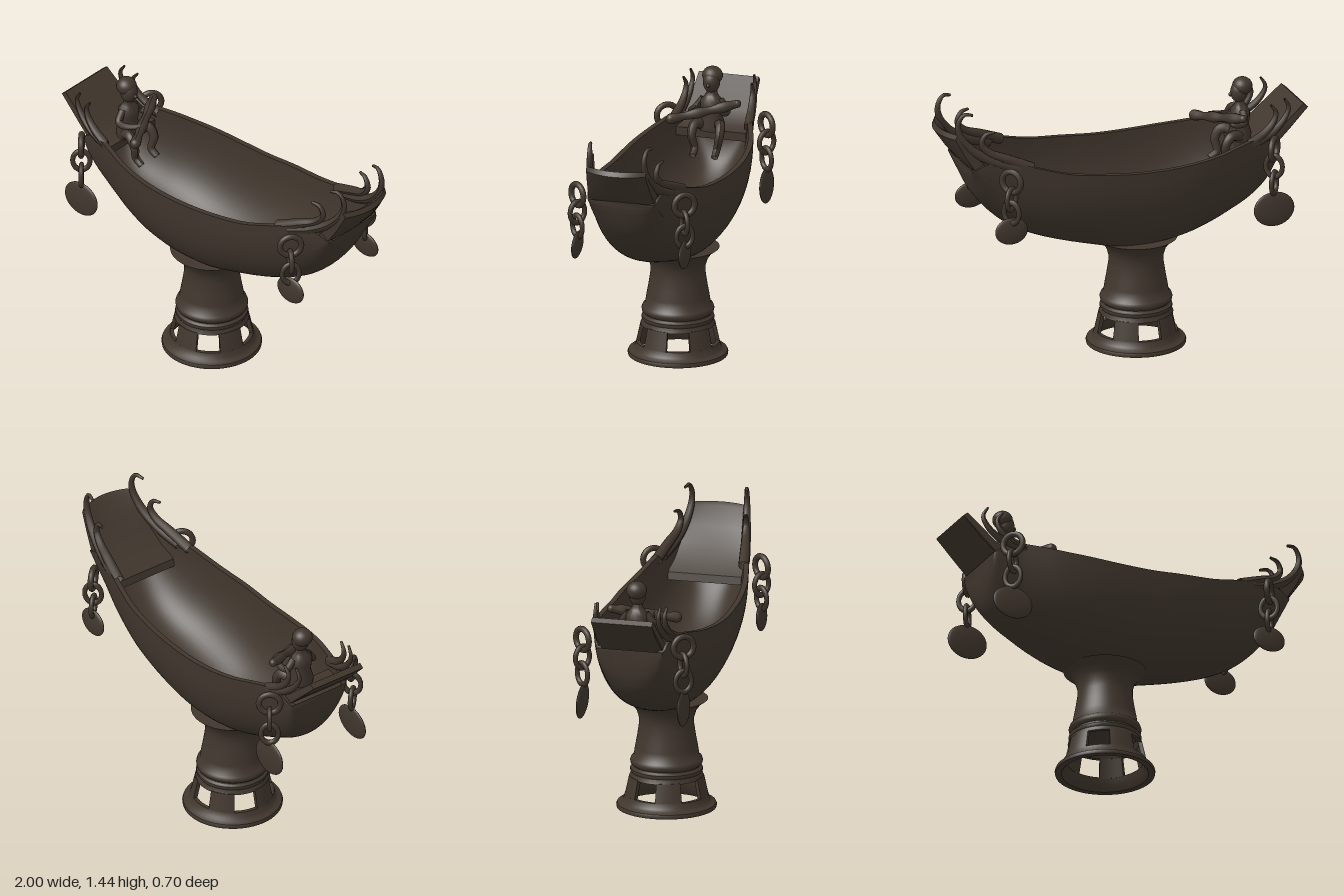
import * as THREE from 'three';
import { mergeVertices, toCreasedNormals } from 'three/addons/utils/BufferGeometryUtils.js';

const V = (x, y, z = 0) => new THREE.Vector3(x, y, z);

export function createModel() {
  const model = new THREE.Group();
  const bronze = new THREE.MeshStandardMaterial({ color: 0x40362d, side: THREE.DoubleSide });
  bronze.name = 'dark bronze';

  const add = (name, geo, parent = model) => {
    const mesh = new THREE.Mesh(geo, bronze);
    mesh.name = name;
    parent.add(mesh);
    return mesh;
  };
  const lathe = (pts, segs, start, length) =>
    toCreasedNormals(new THREE.LatheGeometry(pts.map(p => new THREE.Vector2(...p)), segs, start, length), 0.8);

  // Round tube whose radius follows a rule of t (0 to 1)
  const taperedTube = (pts, radius, segs = 28) => {
    const curve = new THREE.CatmullRomCurve3(pts);
    const geo = new THREE.TubeGeometry(curve, segs, 1, 10);
    const pos = geo.attributes.position, p = V(0, 0);
    for (let i = 0; i < pos.count; i++) {
      const t = Math.floor(i / 11) / segs, c = curve.getPointAt(t);
      p.fromBufferAttribute(pos, i).sub(c).multiplyScalar(radius(t)).add(c);
      pos.setXYZ(i, p.x, p.y, p.z);
    }
    geo.computeVertexNormals();
    return geo;
  };

  // Boat bowl: U-shaped sections with a wall, lofted along x
  // station: x, half width, rim height, keel height
  const stations = [
    [-0.835, 0.175, 1.04, 0.95], [-0.82, 0.185, 1.05, 0.87], [-0.78, 0.195, 1.08, 0.79],
    [-0.7, 0.215, 1.1, 0.72], [-0.6, 0.25, 1.09, 0.67], [-0.48, 0.29, 1.07, 0.62],
    [-0.34, 0.318, 1.055, 0.575], [-0.18, 0.33, 1.045, 0.55], [0, 0.33, 1.045, 0.55],
    [0.18, 0.325, 1.06, 0.59], [0.36, 0.303, 1.08, 0.64], [0.5, 0.273, 1.115, 0.69],
    [0.62, 0.243, 1.15, 0.755], [0.72, 0.216, 1.17, 0.84], [0.8, 0.198, 1.15, 0.94],
    [0.845, 0.185, 1.125, 1.04], [0.86, 0.18, 1.12, 1.09]
  ];
  const rimCurve = new THREE.CatmullRomCurve3(stations.map(s => V(s[0], s[2], s[1])), false, 'catmullrom');
  const keelCurve = new THREE.CatmullRomCurve3(stations.map(s => V(s[0], s[3])), false, 'catmullrom');
  const verts = [], faces = [], L = 64, N = 32, M = 2 * (N + 1);
  for (let i = 0; i <= L; i++) {
    const r = rimCurve.getPoint(i / L), k = keelCurve.getPoint(i / L);
    for (let j = 0; j < M; j++) {
      const inner = j > N, a = Math.PI * (inner ? M - 1 - j : j) / N;
      const w = r.z - (inner ? 0.028 : 0), h = Math.max(0.01, r.y - k.y - (inner ? 0.035 : 0));
      const c = Math.cos(a), s = Math.abs(Math.sin(a)), e = 2 / 2.2;
      verts.push(r.x, r.y - h * s ** e, Math.sign(c) * w * Math.abs(c) ** e);
      if (i < L) {
        const p = i * M + j, q = i * M + (j + 1) % M;
        faces.push(p, q, p + M, q, q + M, p + M);
      }
    }
  }
  for (const i of [0, L]) {
    for (let j = 0; j < N; j++) {
      const p = i * M;
      if (i) faces.push(p, p + j, p + j + 1);
      else faces.push(p, p + j + 1, p + j);
    }
  }
  const bowl = new THREE.BufferGeometry();
  bowl.setAttribute('position', new THREE.Float32BufferAttribute(verts, 3));
  bowl.setIndex(faces);
  add('boatBowl', toCreasedNormals(bowl, 0.8));

  // Sloping end plates: side profile drawn out across z, narrowed towards the tip
  const endPlate = (name, profile, width, bulge) => {
    const shape = new THREE.Shape(profile.map(p => new THREE.Vector2(...p)));
    const geo = new THREE.ExtrudeGeometry(shape, { depth: 2, steps: 14, bevelEnabled: false });
    const pos = geo.attributes.position;
    for (let i = 0; i < pos.count; i++) {
      const x = pos.getX(i), u = pos.getZ(i) - 1;
      pos.setX(i, x - bulge * u * u * Math.max(0, (x - 0.8) / 0.2));
      pos.setZ(i, u * width(x));
    }
    geo.deleteAttribute('normal');
    geo.deleteAttribute('uv');
    add(name, toCreasedNormals(mergeVertices(geo), 0.6));
  };
  endPlate('prowPlate', [[0.63, 0.99], [0.7, 0.99], [0.8, 1.07], [0.865, 1.125], [0.93, 1.2],
    [1.0, 1.3], [0.985, 1.325], [0.96, 1.31], [0.88, 1.22], [0.8, 1.15], [0.72, 1.08], [0.64, 1.03]],
    x => 0.195 - Math.max(0, x - 0.75) * 0.14, 0.05);
  endPlate('sternPlate', [[-0.67, 0.99], [-0.67, 1.035], [-0.74, 1.045], [-0.82, 1.11], [-0.975, 1.245],
    [-1.0, 1.225], [-0.9, 1.12], [-0.8, 1.03], [-0.74, 0.99]],
    x => 0.162 + Math.max(0, x + 0.9) * 0.12, 0);

  // Curling horns on both sides of each end
  const horns = {
    prowHornLarge: [0.024, [0.62, 1.12], [0.75, 1.165], [0.86, 1.235], [0.92, 1.315], [0.93, 1.38], [0.9, 1.43], [0.855, 1.425]],
    prowHornSmall: [0.024, [0.55, 1.12], [0.68, 1.175], [0.77, 1.215], [0.81, 1.265], [0.79, 1.315], [0.745, 1.325]],
    sternHornLarge: [0.02, [-0.66, 1.07], [-0.78, 1.11], [-0.86, 1.175], [-0.89, 1.24], [-0.865, 1.29]],
    sternHornSmall: [0.02, [-0.66, 1.08], [-0.75, 1.125], [-0.8, 1.175], [-0.815, 1.225], [-0.785, 1.27]]
  };
  for (const side of [1, -1]) {
    for (const [name, [r, ...pts]] of Object.entries(horns)) {
      const path = pts.map(([x, y]) => V(x, y, side * (x > 0 ? 0.232 - 0.23 * Math.max(0, x - 0.56) : 0.205 - 0.16 * (-x - 0.66))));
      add(name, taperedTube(path, t => r * (1.15 - 0.85 * t * t)));
    }
  }

  // Hanging chains, each with links and an oval pendant
  const chain = (x, z, linkHeights, discY, rx, ry) => {
    const group = new THREE.Group();
    group.name = 'pendantChain';
    const turn = Math.sign(x) * Math.sign(z) * 0.9;
    linkHeights.forEach((y, i) => {
      const link = add('chainLink', new THREE.TorusGeometry(i ? 0.045 : 0.056, i ? 0.013 : 0.016, 10, 24), group);
      link.position.set(x, y, z);
      link.rotation.y = i % 2 ? turn - Math.PI / 2 : turn;
      if (i) link.scale.y = 1.25;
    });
    const disc = add('pendantDisc', new THREE.SphereGeometry(1, 28, 16), group);
    disc.scale.set(rx, ry, 0.018);
    disc.position.set(x, discY, z);
    disc.rotation.x = -Math.sign(z) * 0.06;
    model.add(group);
  };
  for (const side of [1, -1]) {
    chain(-0.77, side * 0.27, [1.06, 0.965, 0.875], 0.73, 0.112, 0.092);
    chain(0.69, side * 0.29, [1.08, 0.985, 0.91], 0.81, 0.09, 0.072);
  }

  // Pedestal: flared stem, mouldings and a hollow foot with five windows
  const pedestal = new THREE.Group();
  pedestal.name = 'pedestal';
  pedestal.position.x = -0.11;
  model.add(pedestal);
  add('stem', lathe([[0, 0.58], [0.215, 0.58], [0.18, 0.555], [0.155, 0.52], [0.143, 0.48], [0.143, 0.44],
    [0.152, 0.38], [0.163, 0.32], [0.17, 0.275], [0.183, 0.265], [0.188, 0.25], [0.185, 0.235],
    [0.173, 0.225], [0.175, 0.217], [0.187, 0.21], [0.189, 0.2], [0.183, 0.19], [0.186, 0.18],
    [0.193, 0.165], [0.172, 0.165], [0.16, 0.2], [0, 0.2]], 56), pedestal);
  add('footRing', lathe([[0.195, 0.07], [0.215, 0.07], [0.224, 0.04], [0.235, 0.03], [0.256, 0.022],
    [0.26, 0.012], [0.258, 0], [0.225, 0], [0.205, 0.03], [0.195, 0.07]], 56), pedestal);
  for (let i = 0; i < 5; i++) {
    const half = 0.33, mid = i * Math.PI * 2 / 5;
    add('footPillar', lathe([[0.172, 0.17], [0.193, 0.17], [0.216, 0.065], [0.195, 0.065], [0.172, 0.17]],
      8, mid - half, half * 2), pedestal);
    // Closing sides of each pillar
    for (const edge of [-half, half]) {
      const shape = new THREE.Shape([[0.172, 0.17], [0.193, 0.17], [0.216, 0.065], [0.195, 0.065]]
        .map(p => new THREE.Vector2(...p)));
      add('pillarSide', new THREE.ShapeGeometry(shape), pedestal).rotation.y = mid + edge - Math.PI / 2;
    }
  }

  // Seated musician holding a long instrument across the body
  const figure = new THREE.Group();
  figure.name = 'musician';
  model.add(figure);
  const torso = add('torso', lathe([[0, 0], [0.055, 0.005], [0.058, 0.04], [0.045, 0.09], [0.05, 0.13],
    [0.05, 0.165], [0.032, 0.19], [0.024, 0.205], [0.024, 0.24]], 20), figure);
  torso.position.set(-0.685, 1.03, 0);
  torso.scale.z = 1.2;
  const ball = (name, x, y, z, sx, sy, sz) => {
    const mesh = add(name, new THREE.SphereGeometry(1, 20, 14), figure);
    mesh.position.set(x, y, z);
    mesh.scale.set(sx, sy, sz);
  };
  ball('head', -0.68, 1.295, 0, 0.046, 0.058, 0.045);
  ball('hair', -0.698, 1.325, 0, 0.053, 0.048, 0.054);
  ball('nose', -0.635, 1.285, 0.003, 0.012, 0.012, 0.01);
  add('instrument', taperedTube([V(-0.645, 1.2, -0.15), V(-0.6, 1.18, -0.06), V(-0.55, 1.155, 0.05), V(-0.495, 1.135, 0.16)],
    t => 0.021 + 0.008 * Math.sin(t * Math.PI * 2.5) ** 2), figure);
  ball('instrumentTop', -0.645, 1.2, -0.15, 0.021, 0.021, 0.021);
  ball('instrumentBase', -0.495, 1.135, 0.16, 0.028, 0.028, 0.028);
  for (const side of [1, -1]) {
    add('arm', taperedTube([V(-0.685, 1.2, side * 0.045), V(-0.675, 1.15, side * 0.085), V(-0.62, 1.15, side * 0.09),
      V(-0.57 + side * 0.03, 1.17, side * 0.06)], t => 0.021 - 0.006 * t), figure);
    add('leg', taperedTube([V(-0.685, 1.06, side * 0.035), V(-0.61, 1.08, side * 0.07), V(-0.575, 1.03, side * 0.075),
      V(-0.58, 0.96, side * 0.06), V(-0.54, 0.93, side * 0.06)], t => 0.03 - 0.012 * t), figure);
  }

  return model;
}
